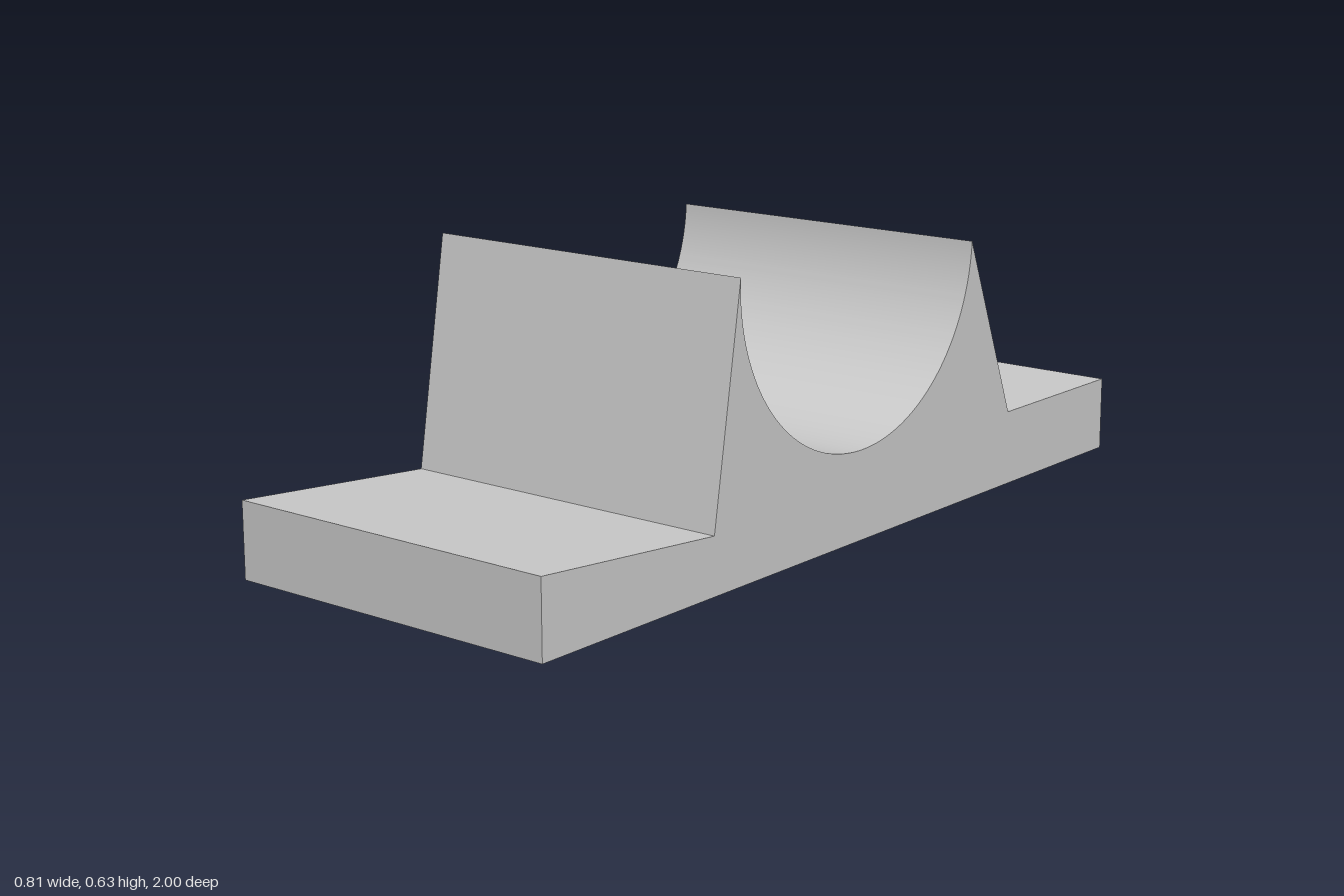
import * as THREE from 'three';
import { toCreasedNormals } from 'three/addons/utils/BufferGeometryUtils.js';

export function createModel() {
  const width = 0.81;
  const radius = 0.413, centreY = 0.612;          // cradle arc
  const frontTip = Math.asin((0.631 - centreY) / radius);
  const backTip = Math.PI + Math.asin((centreY - 0.588) / radius);

  // Side profile: shape x runs along model z, shape y is up
  const profile = new THREE.Shape();
  profile.moveTo(-1, 0);
  profile.lineTo(1, 0);
  profile.lineTo(1, 0.168);                       // front lip
  profile.lineTo(0.495, 0.126);                   // foot of front ridge
  profile.lineTo(radius * Math.cos(frontTip), 0.631);
  profile.absarc(0, centreY, radius, frontTip, backTip, true); // round cradle
  profile.lineTo(-0.579, 0.17);                   // foot of back ridge
  profile.lineTo(-1, 0.17);
  profile.closePath();

  // Extrude across the width, then turn the profile to face along z
  const extruded = new THREE.ExtrudeGeometry(profile, {
    depth: width, bevelEnabled: false, curveSegments: 64,
  });
  extruded.translate(0, 0, -width / 2);
  extruded.rotateY(-Math.PI / 2);

  const cradle = new THREE.Mesh(
    toCreasedNormals(extruded, 0.15),
    new THREE.MeshStandardMaterial({ color: 0xcccccc })
  );
  cradle.name = 'cradleBlock';

  const model = new THREE.Group();
  model.name = 'cradleStand';
  model.add(cradle);
  return model;
}
